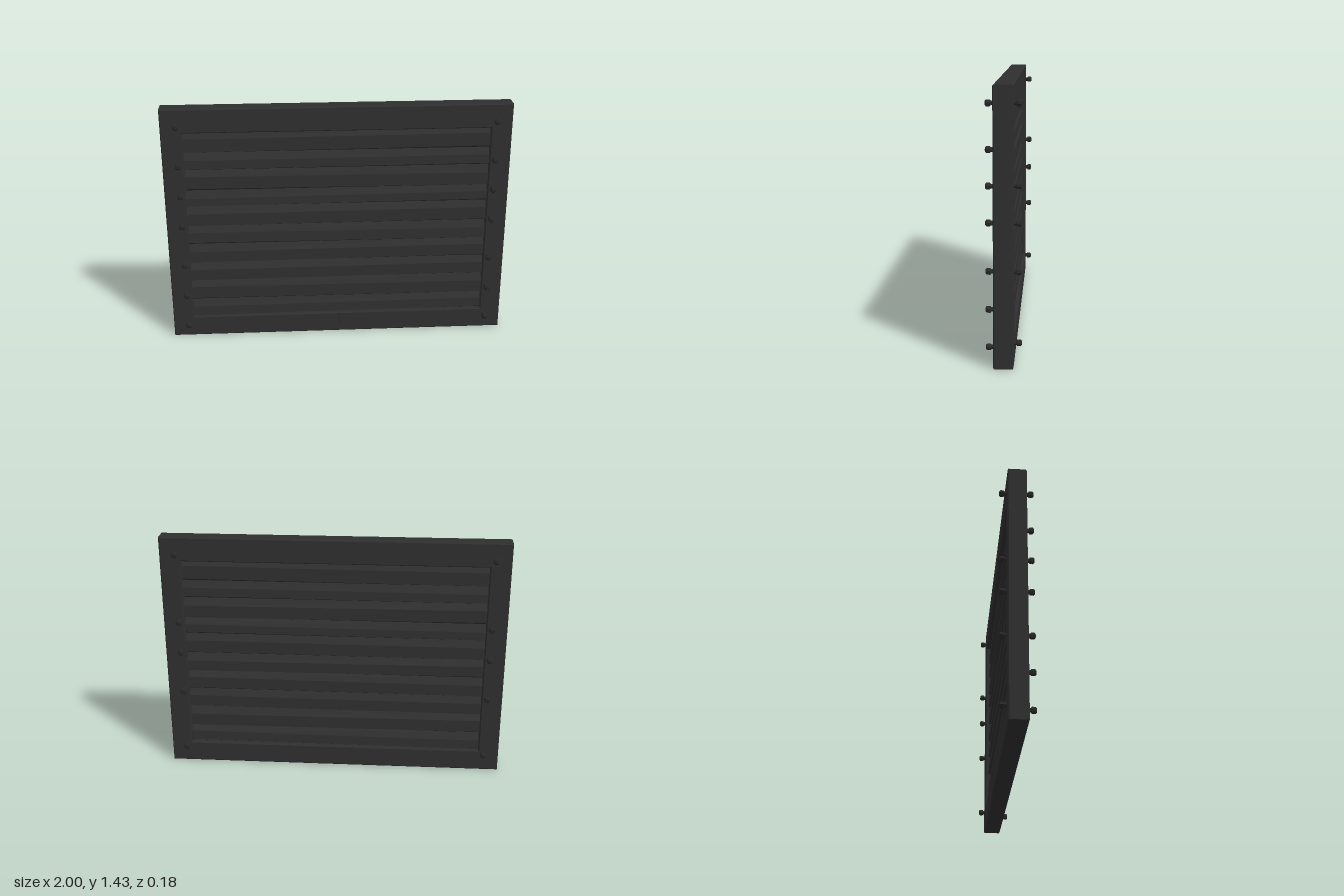
import * as THREE from 'three';

const dark = new THREE.MeshStandardMaterial({ color: 0x2f2f2f });
dark.name = 'charcoal wood';
const iron = new THREE.MeshStandardMaterial({ color: 0x292929 });
iron.name = 'dark iron';

function rectPath(path, x, y0, y1) {
  path.moveTo(-x, y0);
  path.lineTo(x, y0);
  path.lineTo(x, y1);
  path.lineTo(-x, y1);
  path.closePath();
  return path;
}

// Outer frame with a rectangular opening and softened edges
function makeFrame() {
  const b = 0.005;
  const shape = rectPath(new THREE.Shape(), 1 - b, b, 1.43 - b);
  shape.holes.push(rectPath(new THREE.Path(), 0.88 + b, 0.125 - b, 1.29 + b));
  const geo = new THREE.ExtrudeGeometry(shape, {
    depth: 0.107 - 2 * b, bevelEnabled: true, bevelSize: b, bevelThickness: b, bevelSegments: 1,
  });
  geo.translate(0, 0, -0.055 + b);
  // Slight sag of the front face towards the middle of the rails
  const p = geo.attributes.position;
  for (let i = 0; i < p.count; i++) {
    if (p.getZ(i) < 0) continue;
    const endFade = Math.min(1, Math.abs(p.getY(i) - 0.715) / 0.715);
    p.setZ(i, p.getZ(i) - 0.005 * endFade);
  }
  geo.computeVertexNormals();
  const mesh = new THREE.Mesh(geo, dark);
  mesh.name = 'frame';
  return mesh;
}

// One plank: long sloping shoulder above, short undercut below, on both sides
function makeSlat(y0, y1, skew) {
  const s = new THREE.Shape();
  const pts = [
    [0.008, y0], [0.033, y0 + 0.012], [0.03, y1 - 0.042], [0.006, y1],
    [-0.006, y1], [-0.032, y1 - 0.042], [-0.035, y0 + 0.012], [-0.008, y0],
  ];
  s.setFromPoints(pts.map(([z, y]) => new THREE.Vector2(-z, y)));
  const geo = new THREE.ExtrudeGeometry(s, { depth: 1.78, bevelEnabled: false });
  geo.translate(0, 0, -0.89);
  geo.rotateY(Math.PI / 2);
  // Hand-cut irregularity: the shoulder line drifts along the length
  const p = geo.attributes.position;
  for (let i = 0; i < p.count; i++) {
    if (Math.abs(p.getZ(i)) > 0.02) p.setY(i, p.getY(i) + skew * p.getX(i));
  }
  geo.computeVertexNormals();
  const mesh = new THREE.Mesh(geo, dark);
  mesh.name = 'slat';
  return mesh;
}

// Low-poly rivet: short shank with a wider rounded head
function makeRivet(x, y, side) {
  const profile = [[0.012, 0], [0.012, 0.014], [0.018, 0.018], [0.018, 0.036], [0.011, 0.042], [0, 0.042]];
  const geo = new THREE.LatheGeometry(profile.map(([r, h]) => new THREE.Vector2(r, h)), 7).toNonIndexed();
  geo.computeVertexNormals();
  geo.rotateX(side * Math.PI / 2);
  const mesh = new THREE.Mesh(geo, iron);
  mesh.position.set(x, y, side > 0 ? 0.048 : -0.052);
  mesh.name = side > 0 ? 'frontRivet' : 'backRivet';
  return mesh;
}

export function createModel() {
  const model = new THREE.Group();
  model.name = 'slattedShutter';
  model.add(makeFrame());

  // Stack of planks filling the opening
  const slats = new THREE.Group();
  slats.name = 'slats';
  const edges = [0.12, 0.23, 0.355, 0.475, 0.595, 0.71, 0.835, 0.935, 1.06, 1.165, 1.295];
  for (let i = 0; i < edges.length - 1; i++) {
    slats.add(makeSlat(edges[i], edges[i + 1], [0.004, -0.005, 0.002][i % 3]));
  }
  model.add(slats);

  // Rivets along both stiles
  const rivets = new THREE.Group();
  rivets.name = 'rivets';
  for (const x of [-0.908, 0.906]) {
    for (const y of [0.085, 0.285, 0.485, 0.735, 0.922, 1.105, 1.335]) rivets.add(makeRivet(x, y, 1));
    for (const y of [0.11, 0.485, 0.735, 0.925, 1.335]) rivets.add(makeRivet(x, y, -1));
  }
  model.add(rivets);

  // Fine crack in the bottom rail
  const crack = new THREE.Mesh(new THREE.BoxGeometry(0.005, 0.065, 0.006), iron);
  crack.position.set(0.01, 0.085, 0.047);
  crack.name = 'railCrack';
  model.add(crack);

  return model;
}
